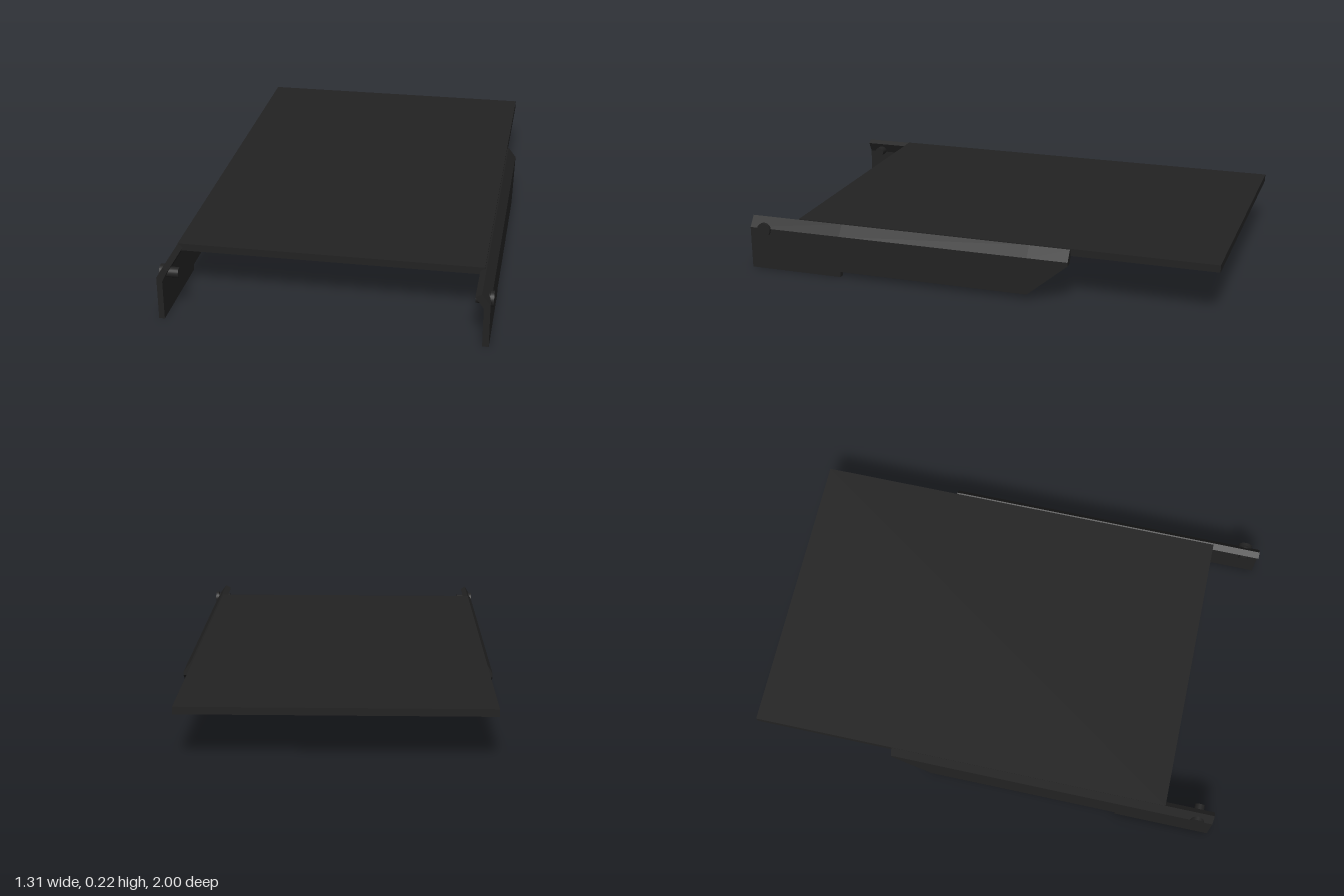
import * as THREE from 'three';

export function createModel() {
  const model = new THREE.Group();
  const black = new THREE.MeshStandardMaterial({ color: 0x222222 });
  black.name = 'matte black';

  function add(name, geometry, x = 0, y = 0, z = 0) {
    const mesh = new THREE.Mesh(geometry, black);
    mesh.name = name;
    mesh.position.set(x, y, z);
    model.add(mesh);
    return mesh;
  }

  // Large flat sheet
  add('topPanel', new THREE.BoxGeometry(1.23, 0.03, 1.79), -0.015, 0.21, -0.105);

  // Lower edge of a rail from front to back: [z, y]
  const stations = [[1, 0], [0.59, 0], [0.59, 0.023], [-0.23, 0.023], [-0.4, 0.165]];

  // Rail: upright plate with its top bent inwards; first and last points follow the lower edge
  function railGeometry(section) {
    const rings = stations.map(([z, low]) =>
      section.map(([x, y]) => [x, y === 0 ? low : y, z]));
    const positions = [];
    const quad = (a, b, c, d) => positions.push(...a, ...b, ...c, ...a, ...c, ...d);
    const n = section.length;
    for (let i = 0; i < rings.length - 1; i++) {
      for (let j = 0; j < n; j++) {
        const k = (j + 1) % n;
        quad(rings[i][j], rings[i + 1][j], rings[i + 1][k], rings[i][k]);
      }
    }
    const front = rings[0], back = rings[rings.length - 1];
    for (const [a, b, c, d] of [[0, 1, 4, 5], [1, 2, 3, 4]]) {
      quad(front[a], front[b], front[c], front[d]);
      quad(back[d], back[c], back[b], back[a]);
    }
    const geometry = new THREE.BufferGeometry();
    geometry.setAttribute('position', new THREE.Float32BufferAttribute(positions, 3));
    geometry.computeVertexNormals();
    return geometry;
  }

  add('leftRail', railGeometry([
    [0.64, 0], [0.64, 0.18], [0.607, 0.224], [0.582, 0.21], [0.615, 0.165], [0.615, 0]]));
  add('rightRail', railGeometry([
    [-0.632, 0], [-0.632, 0.165], [-0.609, 0.21], [-0.629, 0.224], [-0.655, 0.18], [-0.655, 0]]));

  // Round pins near the front of each rail
  function pin(name, x0, x1, radius) {
    const geometry = new THREE.CylinderGeometry(radius, radius, x1 - x0, 24).rotateZ(Math.PI / 2);
    add(name, geometry, (x0 + x1) / 2, 0.175, 0.935);
  }
  pin('leftPinShaft', 0.58, 0.64, 0.021);
  pin('leftPinHead', 0.636, 0.65, 0.03);
  pin('rightPinShaft', -0.64, -0.582, 0.021);
  pin('rightPinHead', -0.656, -0.64, 0.03);

  return model;
}
